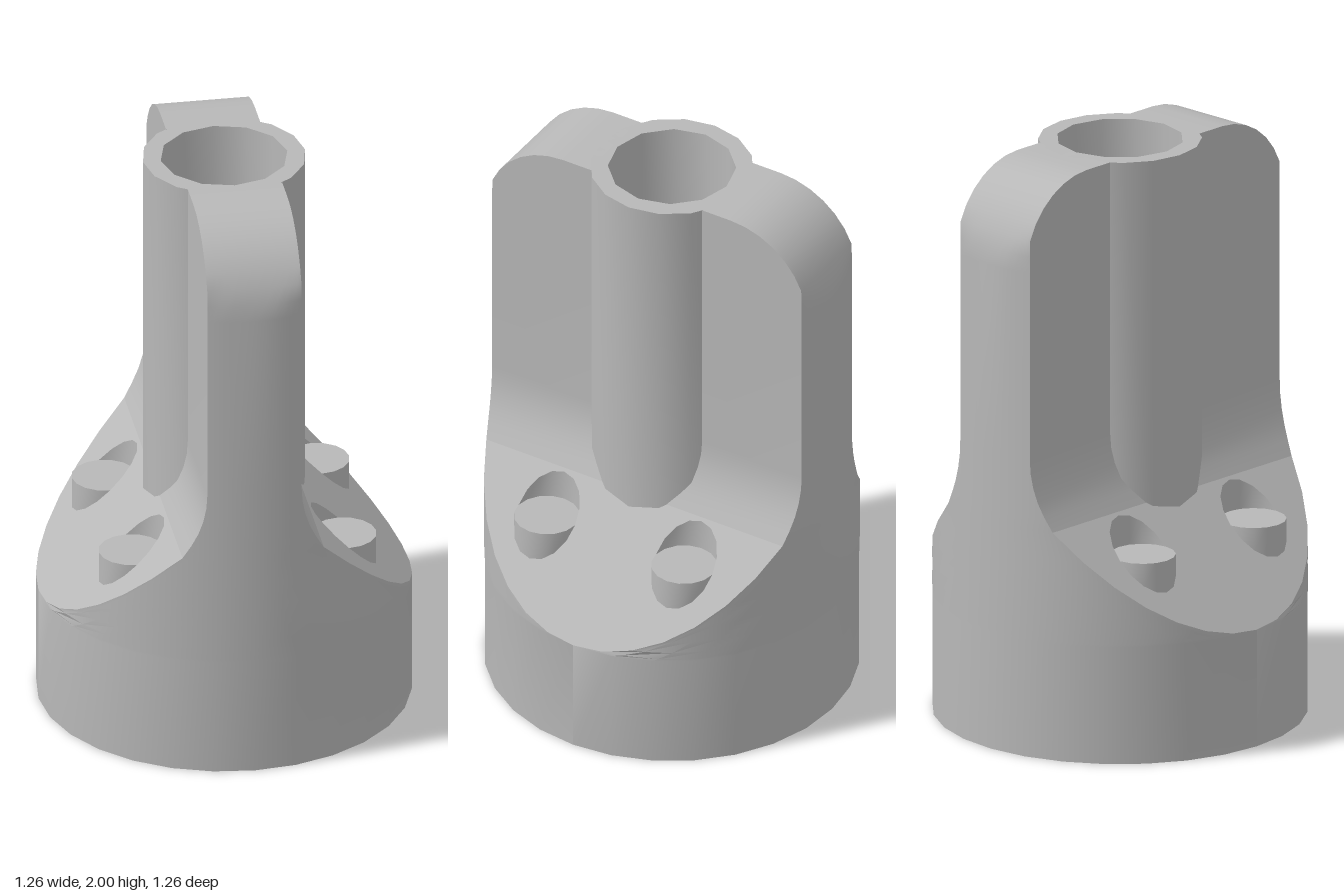
import * as THREE from 'three';
import { toCreasedNormals } from 'three/addons/utils/BufferGeometryUtils.js';

const R = 0.63;          // outer radius
const WEB = 0.16;        // half thickness of the upright fins
const SLOPE = 1.04;      // shoulder plane: y = SLOPE - x
const NECK = 0.24;       // x where the shoulder blends into the fins
const BOSS = 0.275, BORE = 0.215;
const HOLE = { x: 0.36, z: 0.27, r: 0.111, y: 0.68 };

const grey = new THREE.MeshStandardMaterial({ color: 0xb8b8b8, side: THREE.DoubleSide });
grey.name = 'grey';

function part(name, geometry) {
  const mesh = new THREE.Mesh(toCreasedNormals(geometry, 0.55), grey);
  mesh.name = name;
  return mesh;
}

// Surface through rows of points
function grid(rows) {
  const n = rows[0].length, index = [];
  for (let r = 0; r < rows.length - 1; r++) {
    for (let c = 0; c < n - 1; c++) {
      const a = r * n + c, b = a + 1, d = a + n, e = d + 1;
      index.push(a, b, e, a, e, d);
    }
  }
  const g = new THREE.BufferGeometry();
  g.setAttribute('position', new THREE.Float32BufferAttribute(rows.flat(2), 3));
  g.setIndex(index);
  return g;
}

function lathe(name, points, sides) {
  return part(name, new THREE.LatheGeometry(points.map(p => new THREE.Vector2(...p)), sides));
}

function ngon(cx, cy, r, sides) {
  return Array.from({ length: sides }, (_, i) => {
    const a = i / sides * Math.PI * 2;
    return new THREE.Vector2(cx + r * Math.cos(a), cy + r * Math.sin(a));
  });
}

function flatShape(outline, holes) {
  const shape = new THREE.Shape(outline);
  holes.forEach(h => shape.holes.push(new THREE.Path(h)));
  return new THREE.ShapeGeometry(shape).rotateX(-Math.PI / 2);
}

// Half width w, height y and z limit of every cross-section, bottom to top
const levels = [{ w: R, y: 0, z: R }];
const arc = Math.acos(NECK / R), steps = 7;
for (let i = 0; i <= steps; i++) {
  const w = R * Math.cos(arc * i / steps);
  levels.push({ w, y: SLOPE - w, z: R });
}
const neckRow = levels.length - 1;
for (let i = 1; i <= 5; i++) {                       // concave fillet
  const a = Math.asin(0.8) + (Math.PI / 2 - Math.asin(0.8)) * i / 5;
  const b = Math.PI / 2 - a;
  levels.push({ w: 0.56 - 0.4 * Math.cos(b), y: 1.046 - 0.4 * Math.sin(b), z: R });
}
for (let i = 0; i <= 8; i++) {                       // rounded top corner
  const a = Math.PI / 2 * i / 8;
  levels.push({ w: WEB, y: 1.7 + 0.3 * Math.sin(a), z: 0.33 + 0.3 * Math.cos(a) });
}
levels.push({ w: WEB, y: 2, z: 0.22 });              // flat top up to the boss

const zEnd = (l, x) => Math.min(l.z, Math.sqrt(Math.max(0, R * R - x * x)));

// One half of the body; the other is the same turned by 180 degrees
function bodyHalf() {
  const half = new THREE.Group();
  half.name = 'bodyHalf';

  // Round outer wall running up into the fin edge
  half.add(part('outerWall', grid(levels.map(l =>
    Array.from({ length: 15 }, (_, i) => {
      const x = l.w * Math.sin((i / 14 - 0.5) * Math.PI);
      return [x, l.y, zEnd(l, x)];
    })))));

  // Flat fin sides, stopping inside the boss wall
  const upper = levels.slice(neckRow);
  const inner = l => Math.sqrt(0.245 ** 2 - l.w ** 2);
  half.add(part('finSideFront', grid(upper.map(l =>
    [[l.w, l.y, zEnd(l, l.w)], [l.w, l.y, inner(l)]]))));
  half.add(part('finSideBack', grid(upper.map(l =>
    [[l.w, l.y, -inner(l)], [l.w, l.y, -zEnd(l, l.w)]]))));

  // Sloping shoulder with two screw holes
  const outline = [];
  for (let i = -steps; i <= steps; i++) {
    const a = arc * i / steps;
    outline.push(new THREE.Vector2(R * Math.cos(a), R * Math.sin(a)));
  }
  const shoulder = flatShape(outline, [-1, 1].map(s => ngon(HOLE.x, s * HOLE.z, HOLE.r, 16)));
  const sp = shoulder.attributes.position;
  for (let i = 0; i < sp.count; i++) sp.setY(i, SLOPE - sp.getX(i));
  half.add(part('shoulder', shoulder));

  // Level seats: sunk on the uphill side, raised on the downhill side
  for (const s of [-1, 1]) {
    const wall = new THREE.CylinderGeometry(HOLE.r, HOLE.r, 1, 16, 1, true);
    wall.translate(HOLE.x, 0, s * HOLE.z);
    const p = wall.attributes.position;
    for (let i = 0; i < p.count; i++) p.setY(i, p.getY(i) > 0 ? HOLE.y : SLOPE - p.getX(i));
    half.add(part('seatWall', wall));
    const floor = new THREE.CircleGeometry(HOLE.r, 16).rotateX(-Math.PI / 2);
    half.add(part('seatFloor', floor.translate(HOLE.x, HOLE.y, s * HOLE.z)));
  }
  return half;
}

export function createModel() {
  const model = new THREE.Group();
  model.name = 'socketMount';

  const other = bodyHalf();
  other.rotation.y = Math.PI;
  model.add(bodyHalf(), other);

  // Central tube
  model.add(lathe('boss', [[BOSS, 0.7], [BOSS, 2]], 16));
  model.add(part('bossRim',
    flatShape(ngon(0, 0, BOSS, 16), [ngon(0, 0, BORE, 12)]).translate(0, 2, 0)));
  model.add(lathe('bore', [[0.07, 0.5], [0.07, 0.75], [BORE, 0.75], [BORE, 2]].reverse(), 12));

  // Underside: through hole, tapered recess and rim
  model.add(lathe('underside',
    [[R, 0], [0.545, 0], [0.39, 0.145], [0.15, 0.145], [0.15, 0.5], [0.07, 0.5]].reverse(), 28));

  return model;
}
